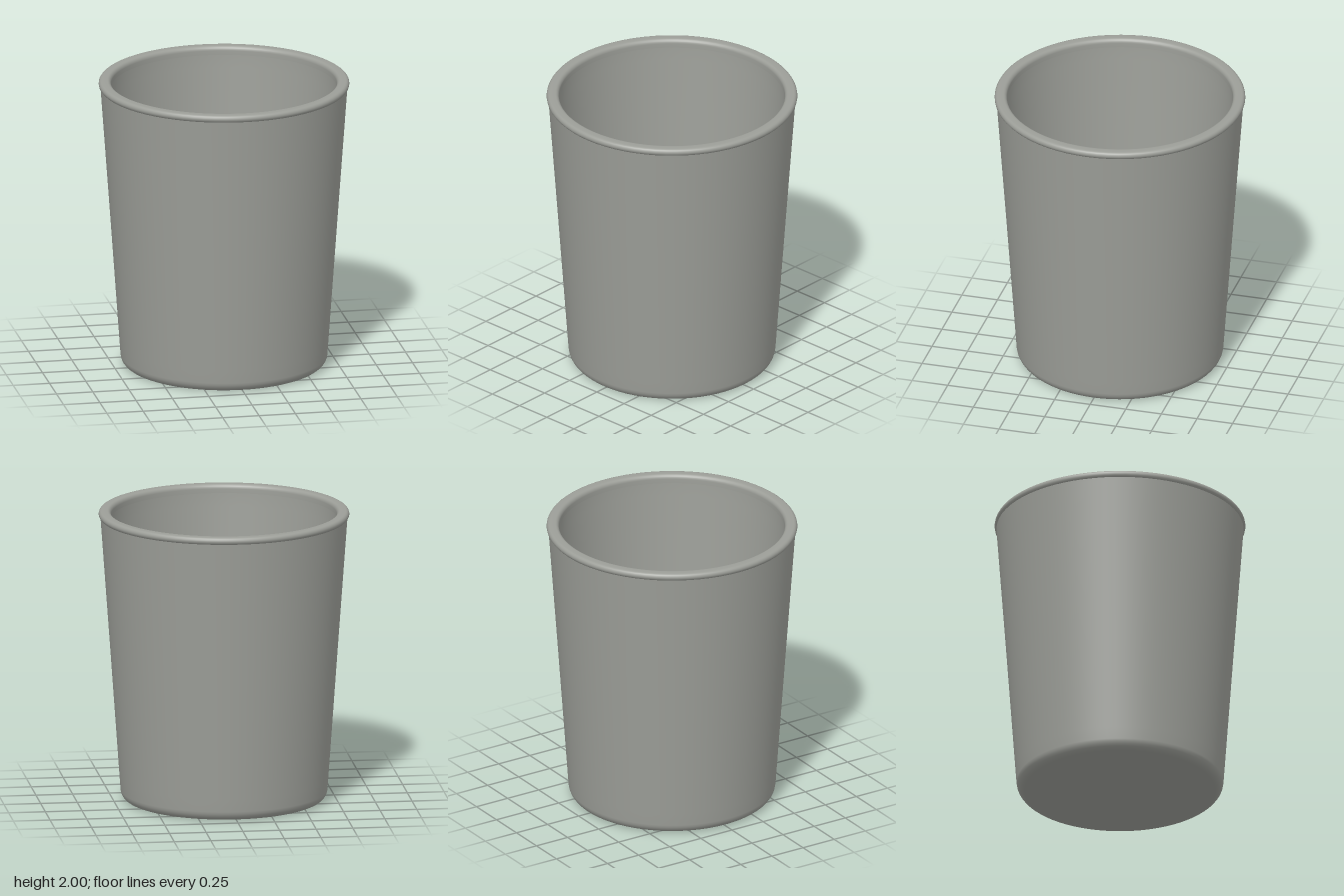
import * as THREE from 'three';

const clay = new THREE.MeshStandardMaterial({ color: 0x9c9e98 });
clay.name = 'warm grey';

// Spins a profile of [radius, height] points around the y axis
function turned(name, profile) {
  const points = profile.map(([r, y]) => new THREE.Vector2(r, y));
  const mesh = new THREE.Mesh(new THREE.LatheGeometry(points, 72), clay);
  mesh.name = name;
  return mesh;
}

// Points of a rounded corner or lip in profile
function arc(cx, cy, rx, ry, from, to, steps) {
  return Array.from({ length: steps + 1 }, (_, i) => {
    const a = THREE.MathUtils.degToRad(from + ((to - from) * i) / steps);
    return [cx + rx * Math.cos(a), cy + ry * Math.sin(a)];
  });
}

export function createModel() {
  const cup = new THREE.Group();
  cup.name = 'cup';

  // Flat underside, rounded foot and tapering outer wall
  cup.add(turned('outerWall', [
    [0, 0], [0.6, 0],
    ...arc(0.635, 0.07, 0.065, 0.07, -90, -4, 6),
    [0.706, 0.15], [0.77, 1.05], [0.834, 1.93], [0.836, 1.955],
  ]));

  // Rounded lip, slightly proud of the wall
  cup.add(turned('rim', [
    [0.834, 1.95],
    ...arc(0.824, 1.975, 0.024, 0.025, -50, 90, 6),
    [0.805, 2],
    ...arc(0.79, 1.97, 0.026, 0.03, 90, 180, 5),
    [0.764, 1.94],
  ]));

  // Inner wall, dished floor and shallow round recess in its centre
  cup.add(turned('interior', [
    [0.764, 1.94], [0.76, 1.85], [0.7, 1.05], [0.64, 0.3],
    [0.625, 0.22], [0.59, 0.165], [0.52, 0.135], [0.4, 0.115],
    [0.29, 0.105], [0.265, 0.098], [0.245, 0.085], [0.22, 0.082], [0, 0.082],
  ]));

  return cup;
}
